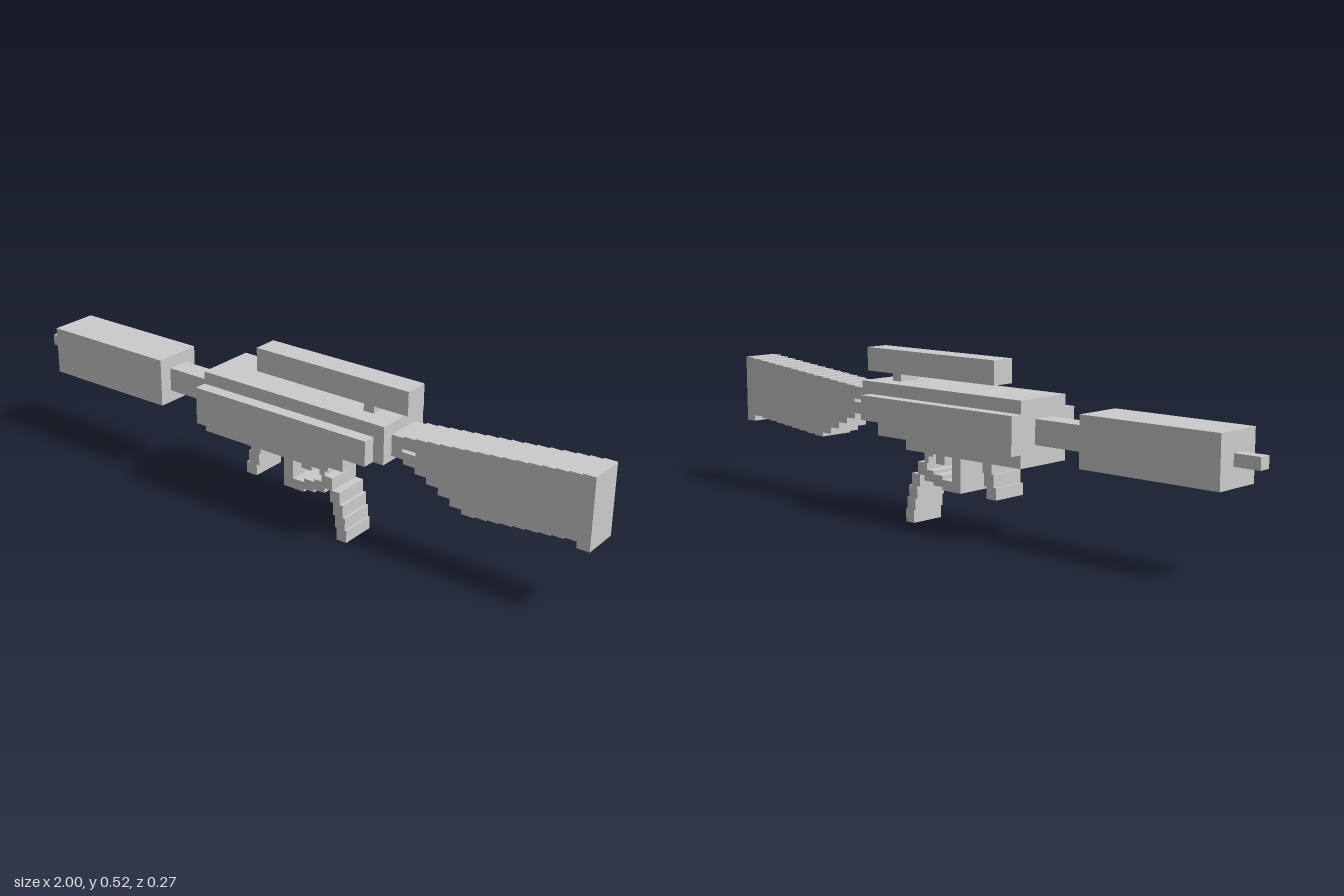
import * as THREE from 'three';

const material = new THREE.MeshStandardMaterial({ color: 0xcccccc, flatShading: true });

// Extrude a side outline symmetrically about z = 0.
function slab(name, points, halfDepth, hole) {
  const shape = new THREE.Shape(points.map(([x, y]) => new THREE.Vector2(x, y)));
  if (hole) shape.holes.push(new THREE.Path(hole.map(([x, y]) => new THREE.Vector2(x, y))));
  const geometry = new THREE.ExtrudeGeometry(shape, { depth: 2 * halfDepth, bevelEnabled: false });
  geometry.translate(0, 0, -halfDepth);
  const mesh = new THREE.Mesh(geometry, material);
  mesh.name = name;
  return mesh;
}

// Box given by its x and y limits, centred on z = 0.
function block(name, x0, x1, y0, y1, halfDepth) {
  const mesh = new THREE.Mesh(new THREE.BoxGeometry(x1 - x0, y1 - y0, 2 * halfDepth), material);
  mesh.position.set((x0 + x1) / 2, (y0 + y1) / 2, 0);
  mesh.name = name;
  return mesh;
}

// Group of blocks, each row [x0, x1, y0, y1].
function blocks(name, rows, halfDepth) {
  const group = new THREE.Group();
  group.name = name;
  rows.forEach((r, i) => group.add(block(`${name}Block${i + 1}`, ...r, halfDepth)));
  return group;
}

// Stock: stepped top and bottom built column by column, with a small slit near the front.
function stock() {
  const columns = 15, start = 0.42, width = 0.58 / columns;
  const bottoms = [0.311, 0.293, 0.274, 0.253, 0.232, 0.219, 0.223, 0.227, 0.231, 0.235, 0.239, 0.243, 0.247, 0.252, 0.233];
  const upper = [], lower = [];
  for (let i = 0; i < columns; i++) {
    const x0 = start + i * width, x1 = x0 + width;
    const top = 0.395 + (0.052 * i) / (columns - 1);
    upper.push([x0, top], [x1, top]);
    lower.push([x0, bottoms[i]], [x1, bottoms[i]]);
  }
  const outline = [[0.38, 0.325], [0.42, 0.325], ...lower, ...upper.reverse(), [0.42, 0.39], [0.38, 0.39]];
  const slit = [[0.415, 0.347], [0.415, 0.357], [0.46, 0.357], [0.46, 0.347]];
  return slab('stock', outline, 0.058, slit);
}

export function createModel() {
  const model = new THREE.Group();
  model.name = 'rifle';

  // Barrel assembly
  model.add(block('muzzle', -1, -0.92, 0.312, 0.347, 0.019));
  model.add(block('suppressor', -0.92, -0.465, 0.255, 0.405, 0.077));
  model.add(block('barrel', -0.465, -0.27, 0.293, 0.367, 0.035));

  // Receiver, stepped underneath at the rear
  model.add(slab('receiver', [
    [-0.27, 0.232], [0.19, 0.232], [0.19, 0.271], [0.27, 0.271],
    [0.27, 0.31], [0.38, 0.31], [0.38, 0.425], [-0.27, 0.425],
  ], 0.096));
  // Side plates, one on each flank
  for (const side of [-1, 1]) {
    const plate = slab(side > 0 ? 'leftSidePlate' : 'rightSidePlate', [
      [-0.27, 0.271], [0.27, 0.271], [0.27, 0.31], [0.345, 0.31], [0.345, 0.386], [-0.27, 0.386],
    ], 0.0195);
    plate.position.z = side * 0.1155;
    model.add(plate);
  }

  // Scope and mount
  model.add(block('scope', -0.115, 0.418, 0.447, 0.52, 0.0385));
  model.add(block('scopeMount', 0.27, 0.305, 0.425, 0.447, 0.0385));

  model.add(stock());

  // Foregrip
  model.add(blocks('foregrip', [
    [-0.125, -0.088, 0.193, 0.232],
    [-0.133, -0.094, 0.154, 0.193],
    [-0.142, -0.104, 0.118, 0.154],
  ], 0.058));

  // Trigger guard
  model.add(blocks('triggerGuard', [
    [0, 0.034, 0.118, 0.232],
    [0.034, 0.075, 0.118, 0.15],
    [0.075, 0.113, 0.128, 0.162],
    [0.113, 0.15, 0.138, 0.172],
  ], 0.058));

  // Trigger
  model.add(blocks('trigger', [[0.065, 0.102, 0.195, 0.232]], 0.058));

  // Curved pistol grip
  model.add(blocks('pistolGrip', [
    [0.113, 0.15, 0.214, 0.232],
    [0.132, 0.15, 0.193, 0.214],
    [0.14, 0.178, 0.154, 0.193],
    [0.17, 0.205, 0.116, 0.154],
    [0.182, 0.217, 0.077, 0.116],
    [0.19, 0.225, 0.039, 0.077],
    [0.196, 0.231, 0, 0.039],
  ], 0.058));

  return model;
}
